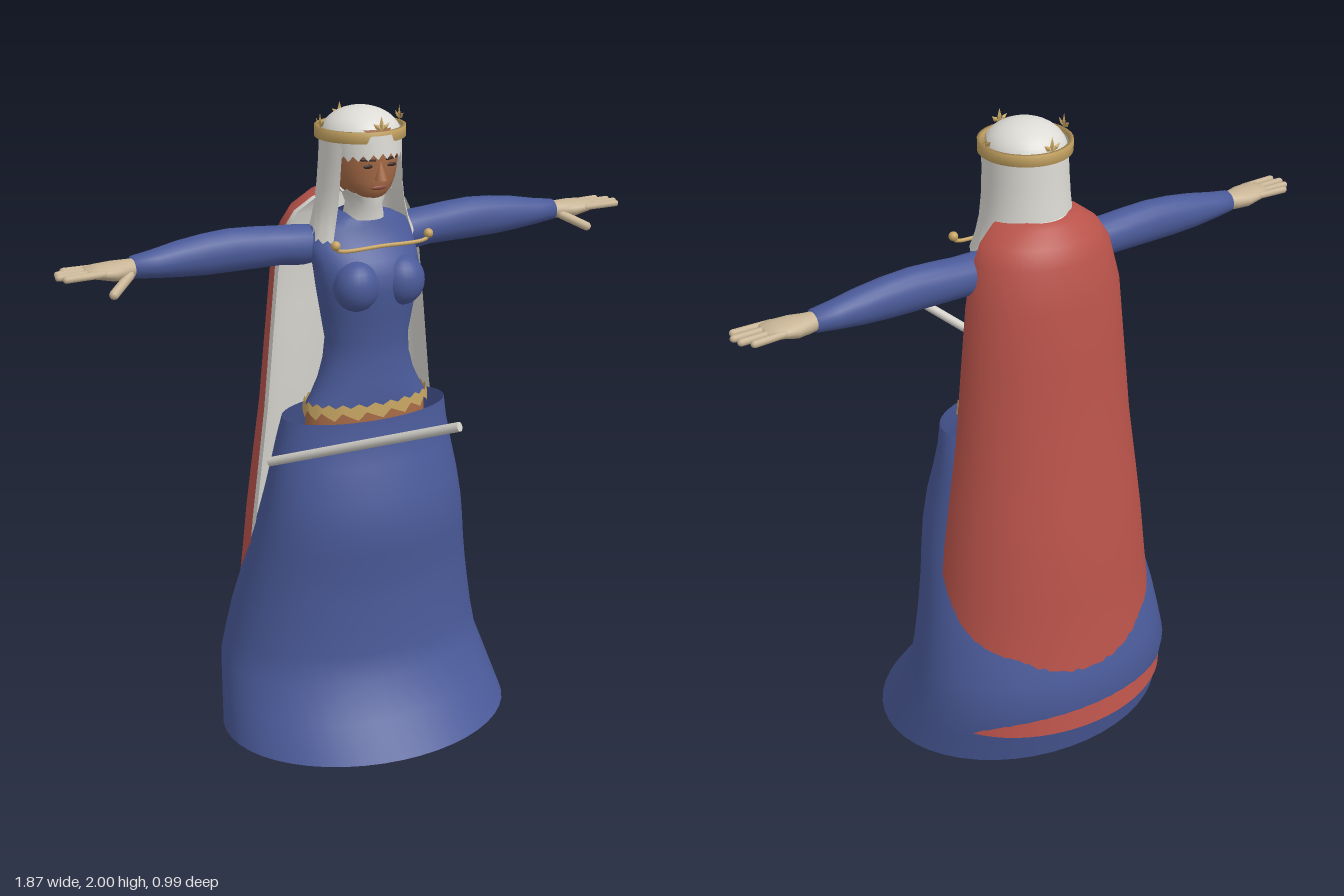
import * as THREE from 'three';

const mat = (name, color, side = THREE.FrontSide) => {
  const m = new THREE.MeshStandardMaterial({ color, side });
  m.name = name;
  return m;
};

// Skin of elliptical rings, listed top to bottom: [y, halfWidth, zFront, zBack, xCentre]
function loft(rows, { seg = 32, from = 0, to = Math.PI * 2, jag = null } = {}) {
  const closed = to - from > 6.28, cols = closed ? seg : seg + 1;
  const pos = [], index = [];
  rows.forEach(([y, hx, zf, zb, cx = 0], r) => {
    for (let i = 0; i < cols; i++) {
      const a = from + (to - from) * i / seg;
      pos.push(cx + hx * Math.cos(a), y + (jag ? jag(r, i) : 0), (zf + zb) / 2 + (zf - zb) / 2 * Math.sin(a));
    }
  });
  for (let r = 0; r < rows.length - 1; r++) for (let i = 0; i < seg; i++) {
    const j = (i + 1) % cols, a = r * cols + i, b = r * cols + j;
    index.push(a, b, a + cols, b, b + cols, a + cols);
  }
  const g = new THREE.BufferGeometry();
  g.setAttribute('position', new THREE.Float32BufferAttribute(pos, 3));
  g.setIndex(index);
  g.computeVertexNormals();
  return g;
}

// Rounded rod between two points
function rod(a, b, r) {
  const p = new THREE.Vector3(...a), q = new THREE.Vector3(...b), d = q.clone().sub(p);
  const g = new THREE.CapsuleGeometry(r, d.length(), 4, 10);
  g.applyQuaternion(new THREE.Quaternion().setFromUnitVectors(new THREE.Vector3(0, 1, 0), d.normalize()));
  return g.translate(...p.add(q).multiplyScalar(0.5).toArray());
}

const ball = (x, y, z, rx, ry, rz) => new THREE.SphereGeometry(1, 20, 14).scale(rx, ry, rz).translate(x, y, z);

function mirrored(geo) {
  const g = geo.clone().scale(-1, 1, 1), ix = g.index.array;
  for (let i = 0; i < ix.length; i += 3) [ix[i], ix[i + 1]] = [ix[i + 1], ix[i]];
  return g;
}

export function createModel() {
  const root = new THREE.Group();
  const D = THREE.DoubleSide;
  const blue = mat('blue dress', 0x4a5a99, D), red = mat('red cape', 0xb9534a);
  const white = mat('white linen', 0xdddbd5, D), gold = mat('gold', 0xc6a462, D);
  const skin = mat('brown skin', 0xa86c48), glove = mat('beige hands', 0xc8b495);
  const shoe = mat('dark brown shoe', 0x5c4530), dark = mat('dark features', 0x3c2a22);
  const lip = mat('lips', 0x8a4a38), silver = mat('pale staff', 0xd2cfc8);
  const add = (name, geo, m) => {
    const mesh = new THREE.Mesh(geo, m);
    mesh.name = name;
    root.add(mesh);
    return mesh;
  };
  const pair = (name, geo, m) => {
    add(name + 'Left', geo, m);
    add(name + 'Right', mirrored(geo), m);
  };

  // Skirt, open at waist and hem
  add('skirt', loft([
    [1.09, 0.27, 0.075, -0.2], [1.02, 0.283, 0.08, -0.225], [0.95, 0.297, 0.1, -0.25], [0.85, 0.317, 0.135, -0.287],
    [0.76, 0.335, 0.148, -0.32], [0.68, 0.35, 0.145, -0.35], [0.6, 0.366, 0.135, -0.38], [0.52, 0.381, 0.135, -0.412],
    [0.44, 0.397, 0.14, -0.446], [0.35, 0.414, 0.145, -0.47], [0.26, 0.432, 0.16, -0.49], [0.16, 0.451, 0.235, -0.465],
    [0.06, 0.47, 0.31, -0.44],
  ], { seg: 48 }), blue);

  // Bodice
  add('bodice', loft([
    [1.695, 0.06, -0.03, -0.15], [1.68, 0.11, -0.015, -0.165], [1.655, 0.155, -0.015, -0.175], [1.61, 0.172, 0.01, -0.18],
    [1.57, 0.166, 0.055, -0.175], [1.53, 0.165, 0.077, -0.165], [1.48, 0.16, 0.077, -0.158], [1.4, 0.146, 0.06, -0.148],
    [1.32, 0.132, 0.048, -0.14], [1.26, 0.138, 0.045, -0.143], [1.2, 0.155, 0.05, -0.15], [1.15, 0.18, 0.053, -0.155],
    [1.125, 0.196, 0.053, -0.158],
  ]), blue);
  pair('bust', ball(0.075, 1.5, 0.035, 0.07, 0.075, 0.063), blue);

  // Hips and ragged belt
  add('hips', loft([[1.13, 0.194, 0.052, -0.157], [1.0, 0.2, 0.05, -0.16]]), skin);
  add('belt', loft([[1.135, 0.201, 0.06, -0.163], [1.1, 0.206, 0.062, -0.166]],
    { seg: 48, jag: (r, i) => r ? 0.012 * (i % 3) - 0.01 : 0.012 * (i % 2) - 0.006 }), gold);

  // Sleeves run along x: [-x, halfHeight, zFront, zBack, yCentre], then laid over
  const along = rows => loft(rows, { seg: 20 }).rotateZ(Math.PI / 2);
  pair('sleeve', along([
    [-0.1, 0.05, -0.07, -0.17, 1.6], [-0.18, 0.06, -0.06, -0.18, 1.602], [-0.25, 0.058, -0.068, -0.182, 1.607],
    [-0.32, 0.061, -0.07, -0.182, 1.61], [-0.4, 0.063, -0.073, -0.18, 1.612], [-0.48, 0.06, -0.075, -0.178, 1.61],
    [-0.56, 0.052, -0.078, -0.176, 1.607], [-0.64, 0.04, -0.084, -0.168, 1.603], [-0.7, 0.032, -0.09, -0.16, 1.602],
    [-0.7, 0, -0.125, -0.125, 1.602],
  ]), blue);

  // Hands
  pair('palm', along([
    [-0.68, 0.025, -0.1, -0.15, 1.602], [-0.72, 0.027, -0.088, -0.16, 1.6], [-0.76, 0.028, -0.073, -0.168, 1.6],
    [-0.81, 0.02, -0.07, -0.165, 1.605], [-0.84, 0.013, -0.075, -0.16, 1.606], [-0.845, 0, -0.118, -0.118, 1.606],
  ]), glove);
  [[-0.08, 0.91], [-0.106, 0.922], [-0.132, 0.915], [-0.156, 0.89]].forEach(([z, x], i) =>
    pair('finger' + (i + 1), rod([0.8, 1.606, z], [x, 1.606, z - (i - 1) * 0.003], 0.0105), glove));
  pair('thumb', rod([0.72, 1.588, -0.095], [0.785, 1.553, -0.05], 0.014), glove);

  // Cape: half rings [y, halfWidth, zEdge, zBack], with a pale lining
  const capeRows = [
    [1.75, 0.1, -0.11, -0.225], [1.74, 0.135, -0.125, -0.25], [1.7, 0.188, -0.14, -0.288], [1.65, 0.217, -0.15, -0.312],
    [1.53, 0.246, -0.155, -0.34], [1.35, 0.264, -0.157, -0.355], [1.1, 0.288, -0.16, -0.378], [0.9, 0.315, -0.16, -0.407],
    [0.75, 0.335, -0.16, -0.427], [0.6, 0.35, -0.165, -0.44], [0.44, 0.368, -0.17, -0.453], [0.26, 0.392, -0.18, -0.482],
    [0.18, 0.402, -0.19, -0.497],
  ];
  const half = { from: Math.PI, to: Math.PI * 2, seg: 32 };
  add('cape', loft(capeRows.map(([y, w, e, b]) => [y, w, 2 * e - b, b]), half), red);
  add('capeLining', loft(capeRows.map(([y, w, e, b]) => [y - 0.003, w - 0.008, 2 * (e + 0.008) - b - 0.009, b + 0.009]), half), white);

  // Face
  add('head', loft([
    [1.95, 0.09, 0.035, -0.17], [1.91, 0.1, 0.047, -0.18], [1.87, 0.1, 0.046, -0.18], [1.83, 0.097, 0.041, -0.18],
    [1.8, 0.09, 0.037, -0.17], [1.775, 0.076, 0.032, -0.15], [1.755, 0.055, 0.022, -0.12], [1.74, 0.03, 0.005, -0.1],
    [1.735, 0, -0.05, -0.05],
  ]), skin);
  add('nose', new THREE.ConeGeometry(0.018, 0.06, 8).scale(1, 1, 1.25).translate(0, 1.837, 0.042), skin);
  pair('eye', ball(0.038, 1.848, 0.038, 0.015, 0.006, 0.004), dark);
  pair('brow', rod([0.02, 1.866, 0.044], [0.056, 1.868, 0.031], 0.004), dark);
  add('mouth', ball(0, 1.783, 0.033, 0.026, 0.007, 0.006), lip);

  // Headdress: cap, fringe, neck cloth and hanging veil
  add('cap', new THREE.SphereGeometry(1, 28, 10, 0, Math.PI * 2, 0, Math.PI / 2).scale(0.118, 0.085, 0.122).translate(0, 1.915, -0.08), white);
  add('fringe', loft([[1.935, 0.112, 0.052, -0.185], [1.885, 0.108, 0.056, -0.185]],
    { seg: 20, from: 0.25, to: Math.PI - 0.25, jag: (r, i) => r ? -0.016 * (i % 2) + 0.012 * Math.abs(i - 10) / -10 : 0 }), white);
  add('neckCloth', loft([[1.775, 0.08, 0.012, -0.15], [1.75, 0.06, 0.016, -0.14], [1.72, 0.05, 0.005, -0.13], [1.68, 0.06, 0, -0.13]],
    { seg: 24, jag: (r, i) => r ? 0 : -0.012 * (i % 2) }), white);
  add('veil', loft([
    [1.94, 0.117, 0.045, -0.205], [1.85, 0.121, 0.04, -0.207], [1.78, 0.126, 0.038, -0.21], [1.72, 0.134, 0.04, -0.215],
    [1.67, 0.147, 0.045, -0.215], [1.62, 0.162, 0.055, -0.215],
  ], { seg: 36, from: Math.PI - 0.62, to: Math.PI * 2 + 0.62, jag: (r, i) => r === 5 ? 0.012 * (i % 2) : 0 }), white);

  // Crown with four three-petalled points
  const crown = new THREE.Group();
  crown.name = 'crown';
  crown.position.set(0, 1.93, -0.082);
  root.add(crown);
  const band = [[0.122, -0.016], [0.133, -0.016], [0.133, 0.016], [0.122, 0.016], [0.122, -0.016]].map(p => new THREE.Vector2(...p));
  const bandMesh = new THREE.Mesh(new THREE.LatheGeometry(band, 40), gold);
  bandMesh.name = 'crownBand';
  crown.add(bandMesh);
  for (let k = 0; k < 4; k++) {
    const point = new THREE.Group();
    point.name = 'crownPoint' + (k + 1);
    point.rotation.y = k * Math.PI / 2;
    [-0.85, 0, 0.85].forEach(tilt => {
      const g = new THREE.OctahedronGeometry(1).scale(0.007, tilt ? 0.016 : 0.024, 0.004).translate(0, 0.018, 0);
      const petal = new THREE.Mesh(g.rotateZ(tilt).translate(0, 0.018, 0.129), gold);
      petal.name = 'petal';
      point.add(petal);
    });
    crown.add(point);
  }

  // Cape cord with end beads
  const cord = new THREE.CatmullRomCurve3([[-0.155, 1.635], [-0.145, 1.62], [0, 1.616], [0.145, 1.62], [0.155, 1.635]]
    .map(([x, y]) => new THREE.Vector3(x, y, 0.055)));
  add('cord', new THREE.TubeGeometry(cord, 32, 0.006, 8), gold);
  pair('cordBead', ball(0.152, 1.635, 0.055, 0.014, 0.014, 0.014), gold);

  // Staff
  const a = new THREE.Vector3(-0.32, 0.965, -0.06), d = new THREE.Vector3(0.01, 1.2, 0.485).sub(a);
  const staff = new THREE.CylinderGeometry(0.014, 0.014, d.length(), 14);
  staff.applyQuaternion(new THREE.Quaternion().setFromUnitVectors(new THREE.Vector3(0, 1, 0), d.clone().normalize()));
  add('staff', staff.translate(...a.addScaledVector(d, 0.5).toArray()), silver);

  // Legs and shoes
  pair('leg', loft([[1.0, 0.08, -0.01, -0.16, 0.1], [0.55, 0.052, -0.08, -0.18, 0.125], [0.35, 0.05, -0.09, -0.2, 0.13],
    [0.12, 0.032, -0.11, -0.18, 0.135], [0.03, 0.034, -0.1, -0.185, 0.135]], { seg: 18 }), skin);
  pair('shoe', loft([[0.085, 0.038, -0.1, -0.19, 0.137], [0.06, 0.046, -0.05, -0.2, 0.138], [0.045, 0.06, 0.05, -0.205, 0.14],
    [0.022, 0.066, 0.08, -0.208, 0.141], [0, 0.06, 0.072, -0.2, 0.141], [0, 0, -0.06, -0.06, 0.14]], { seg: 24 }), shoe);

  return root;
}
